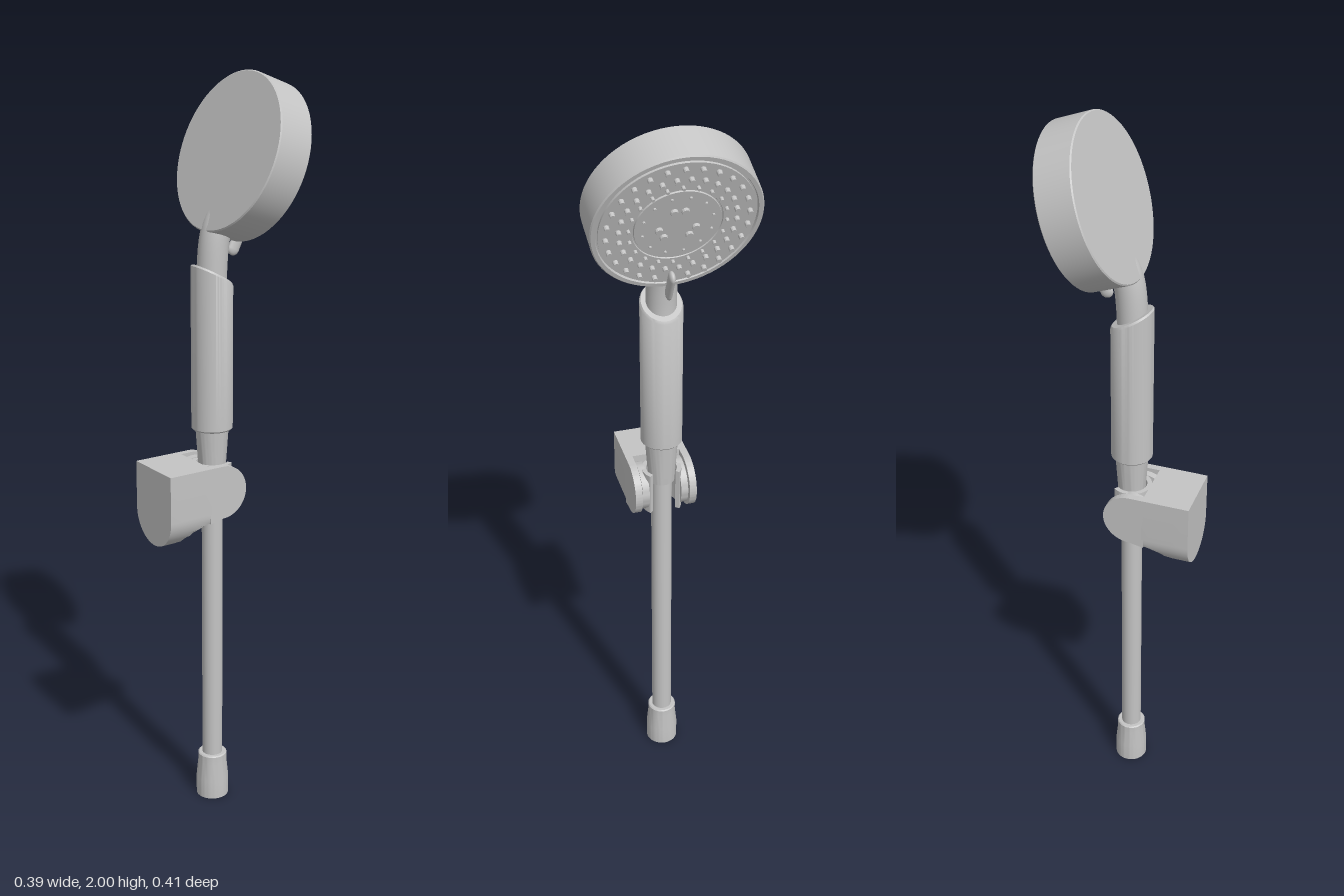
import * as THREE from 'three';
import { toCreasedNormals } from 'three/addons/utils/BufferGeometryUtils.js';

const AXIS_X = -0.0145; // centre line of handle and hose

export function createModel() {
  const model = new THREE.Group();
  model.name = 'handShower';
  const chrome = new THREE.MeshStandardMaterial({ color: 0xc4c4c4 });
  chrome.name = 'satin chrome';

  const add = (parent, name, geometry, x = 0, y = 0, z = 0) => {
    const mesh = new THREE.Mesh(geometry, chrome);
    mesh.name = name;
    mesh.position.set(x, y, z);
    parent.add(mesh);
    return mesh;
  };
  const lathe = (pts, segments = 48) => toCreasedNormals(
    new THREE.LatheGeometry(pts.map(([r, y]) => new THREE.Vector2(r, y)), segments), 0.6);

  // Hose with end nut
  add(model, 'hose', new THREE.CylinderGeometry(0.028, 0.028, 0.9, 32), AXIS_X, 0.55);
  add(model, 'hoseNut', lathe([[0, 0], [0.045, 0], [0.045, 0.055], [0.04, 0.105],
    [0.04, 0.128], [0.037, 0.131], [0, 0.131]]), AXIS_X);

  // Handle: tapered lower cone, grip with slanted top, bent neck
  add(model, 'handleCone', lathe([[0, 0.965], [0.035, 0.965], [0.044, 1.095], [0, 1.095]]), AXIS_X);
  const grip = new THREE.LatheGeometry([[0, 1.09], [0.051, 1.09], [0.0545, 1.094], [0.0545, 1.494],
    [0.051, 1.5], [0, 1.5]].map(([r, y]) => new THREE.Vector2(r, y)), 48);
  const gp = grip.attributes.position;
  for (let i = 0; i < gp.count; i++) {
    if (gp.getY(i) > 1.3) gp.setY(i, gp.getY(i) - 0.55 * gp.getX(i));
  }
  add(model, 'grip', toCreasedNormals(grip, 0.6), AXIS_X);
  const neckPath = new THREE.CatmullRomCurve3([[AXIS_X, 1.4], [AXIS_X, 1.51], [-0.004, 1.6], [0.02, 1.66]]
    .map(([x, y]) => new THREE.Vector3(x, y, 0)));
  add(model, 'neck', new THREE.TubeGeometry(neckPath, 16, 0.039, 32));

  // Spray head: local +y is the spray direction, local +x points down to the handle
  const head = new THREE.Group();
  head.name = 'sprayHead';
  head.position.set(0.03, 1.804, 0);
  head.rotation.z = THREE.MathUtils.degToRad(-110);
  model.add(head);
  add(head, 'headShell', lathe([[0, 0], [0.203, 0], [0.206, 0.003], [0.206, 0.097], [0.203, 0.1],
    [0.193, 0.1], [0.191, 0.094], [0, 0.094]], 72));
  add(head, 'facePlate', lathe([[0, 0.09], [0.187, 0.09], [0.187, 0.1], [0.108, 0.1],
    [0.107, 0.097], [0.104, 0.097], [0.103, 0.101], [0, 0.101]], 72));

  // Nozzle rings
  const nozzleGeo = (r, h) => toCreasedNormals(new THREE.CylinderGeometry(r * 0.8, r, h, 12), 0.6);
  const rings = [[0.17, 26, 0.0075, 0.024], [0.14, 26, 0.0075, 0.024],
    [0.117, 20, 0.005, 0.02], [0.085, 12, 0.004, 0.012]];
  rings.forEach(([radius, count, r, h], ring) => {
    const geo = nozzleGeo(r, h);
    for (let i = 0; i < count; i++) {
      const a = (i + 0.5 * (ring % 2)) / count * Math.PI * 2;
      add(head, 'nozzle', geo, radius * Math.cos(a), 0.1, radius * Math.sin(a));
    }
  });
  // Paired massage jets in the centre
  const jet = nozzleGeo(0.011, 0.018);
  for (let i = 0; i < 3; i++) {
    const a = i / 3 * Math.PI * 2 + Math.PI;
    for (const s of [-1, 1]) {
      add(head, 'massageJet', jet, 0.045 * Math.cos(a + s * 0.3), 0.1, 0.045 * Math.sin(a + s * 0.3));
    }
  }
  // Spray selector lever
  const lever = add(head, 'selectorLever', new THREE.CapsuleGeometry(0.017, 0.06, 8, 20), 0.195, 0.108, 0);
  lever.rotation.z = Math.PI / 2 - 0.1;
  lever.scale.z = 0.5;

  // Wall bracket
  const bracket = new THREE.Group();
  bracket.name = 'wallBracket';
  model.add(bracket);
  const W = 0.084, TOP = 1.01;
  // Body: U-shaped sections clipped by the concave underside
  const stations = [[-0.198, 0.8], [-0.155, 0.8], [-0.145, 0.813], [-0.13, 0.829],
    [-0.11, 0.844], [-0.09, 0.854], [-0.07, 0.86]];
  const steps = 28, verts = [], index = [], n = steps + 3;
  stations.forEach(([x, low]) => {
    verts.push(x, TOP, W);
    for (let k = 0; k <= steps; k++) {
      const a = k / steps * Math.PI;
      verts.push(x, Math.max(low, 0.884 - W * Math.sin(a)), W * Math.cos(a));
    }
    verts.push(x, TOP, -W);
  });
  const last = (stations.length - 1) * n;
  for (let i = 0; i < stations.length - 1; i++) {
    for (let k = 0; k < n; k++) {
      const a = i * n + k, b = i * n + (k + 1) % n;
      index.push(a, b, b + n, a, b + n, a + n);
    }
  }
  for (let k = 1; k < n - 1; k++) index.push(0, k + 1, k, last, last + k, last + k + 1);
  const body = new THREE.BufferGeometry();
  body.setAttribute('position', new THREE.Float32BufferAttribute(verts, 3));
  body.setIndex(index);
  add(bracket, 'bracketBody', toCreasedNormals(body, 0.5));

  // Two round-ended arms with the pivoting cheeks between them
  const arm = new THREE.Shape();
  arm.moveTo(-0.075, TOP);
  arm.lineTo(-0.075, 0.858);
  arm.lineTo(-0.035, 0.866);
  arm.absarc(-0.035, 0.938, 0.072, -Math.PI / 2, Math.PI / 2, false);
  const armGeo = toCreasedNormals(new THREE.ExtrudeGeometry(arm,
    { depth: 0.019, bevelEnabled: false, curveSegments: 24 }), 0.5);
  const cheekGeo = toCreasedNormals(new THREE.CylinderGeometry(0.064, 0.064, 0.019, 40), 0.6);
  for (const s of [-1, 1]) {
    add(bracket, 'arm', armGeo, 0, 0, s > 0 ? W - 0.019 : -W);
    add(bracket, 'pivotCheek', cheekGeo, -0.035, 0.938, s * 0.053).rotation.x = Math.PI / 2;
  }

  // C-shaped collar that grips the handle cone, open at the front
  const collar = new THREE.Shape();
  const gap = 0.85;
  collar.absarc(0, 0, 0.053, gap, Math.PI * 2 - gap, false);
  collar.absarc(0, 0, 0.041, Math.PI * 2 - gap, gap, true);
  const collarGeo = new THREE.ExtrudeGeometry(collar,
    { depth: 0.12, bevelEnabled: false, curveSegments: 32 });
  collarGeo.rotateX(-Math.PI / 2);
  add(bracket, 'handleCollar', toCreasedNormals(collarGeo, 0.5), AXIS_X, 0.88, 0);

  return model;
}
